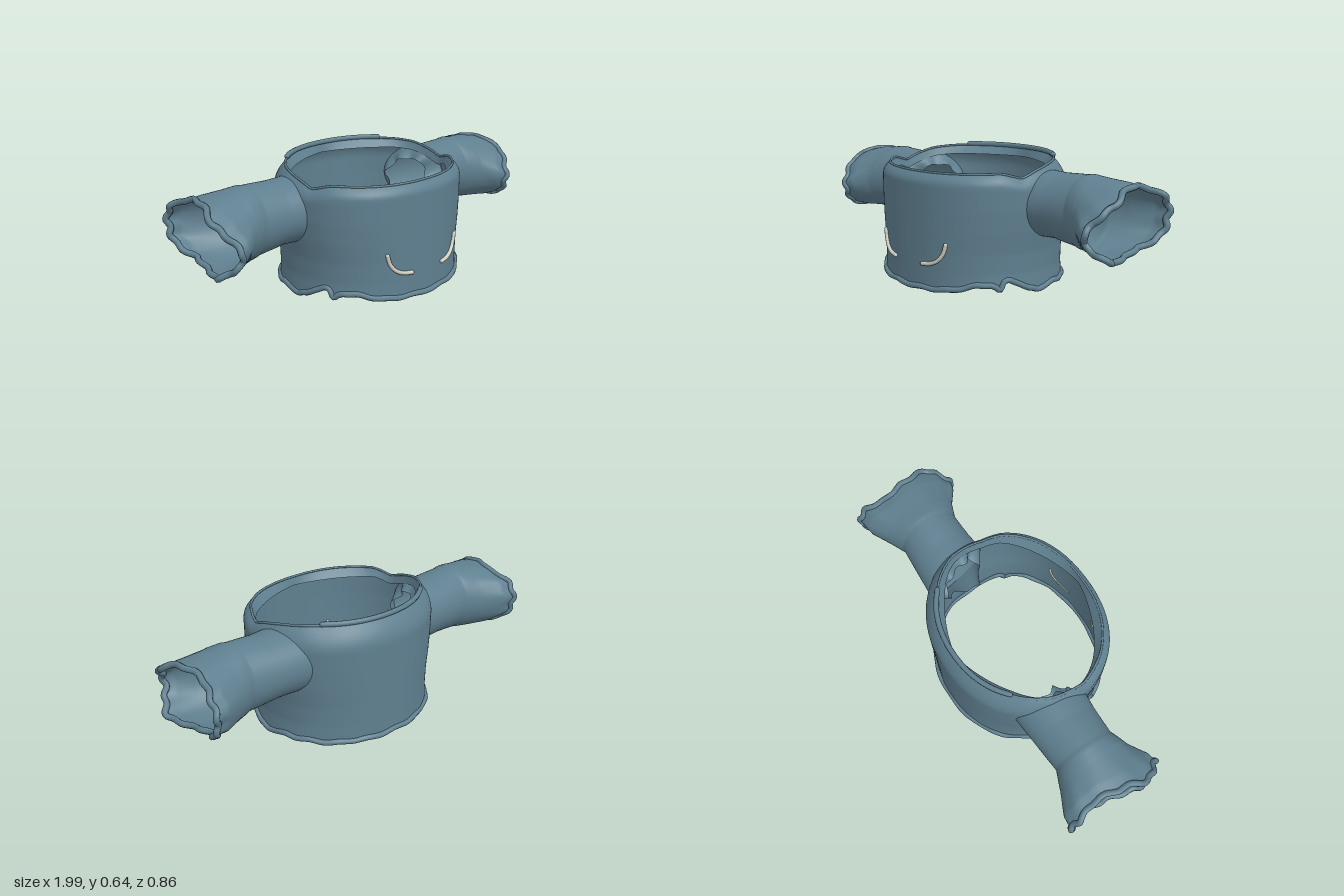
import * as THREE from 'three';

const cloth = new THREE.MeshStandardMaterial({ color: 0x5f7f8f, side: THREE.DoubleSide });
const piping = new THREE.MeshStandardMaterial({ color: 0xcfcfc4 });
const TAU = Math.PI * 2, DEPTH = 0.415;

// Piecewise linear lookup in a list of [key, value, value...] rows
function lookup(rows, k) {
  let i = 0;
  while (i < rows.length - 2 && k > rows[i + 1][0]) i++;
  const [a, b] = [rows[i], rows[i + 1]];
  const t = THREE.MathUtils.clamp((k - a[0]) / (b[0] - a[0]), 0, 1);
  return a.slice(1).map((v, j) => v + (b[j + 1] - v) * t);
}

// Grid surface closed around u; f(angle, v) gives a point, skip() drops cells
function loopSurface(name, nu, nv, f, skip = () => false) {
  const pos = [], index = [];
  for (let j = 0; j <= nv; j++)
    for (let i = 0; i < nu; i++) pos.push(...f(i / nu * TAU, j / nv));
  for (let j = 0; j < nv; j++) {
    for (let i = 0; i < nu; i++) {
      const a = j * nu + i, b = j * nu + (i + 1) % nu, c = a + nu, d = b + nu;
      if (!skip(i, j)) index.push(a, c, b, b, c, d);
    }
  }
  const g = new THREE.BufferGeometry();
  g.setAttribute('position', new THREE.Float32BufferAttribute(pos, 3));
  g.setIndex(index);
  g.computeVertexNormals();
  const mesh = new THREE.Mesh(g, cloth);
  mesh.name = name;
  return mesh;
}

// Tube through points
function cord(name, points, radius, closed, material = cloth) {
  const curve = new THREE.CatmullRomCurve3(points.map(p => new THREE.Vector3(...p)), closed);
  const mesh = new THREE.Mesh(new THREE.TubeGeometry(curve, points.length * 3, radius, 8, closed), material);
  mesh.name = name;
  if (!closed) {
    for (const p of [points[0], points[points.length - 1]]) {
      const cap = new THREE.Mesh(new THREE.SphereGeometry(radius, 8, 6), material);
      cap.name = name + 'End';
      cap.position.set(...p);
      mesh.add(cap);
    }
  }
  return mesh;
}
const around = (n, f) => Array.from({ length: n }, (_, i) => f(i / n * TAU));

// Torso rules: half width by height, neckline and hem heights by depth
const WIDTH = [[0, 0.462], [0.1, 0.453], [0.2, 0.457], [0.3, 0.472], [0.4, 0.481], [0.5, 0.483], [0.62, 0.475]];
const NECK = [[-0.42, 0.615], [-0.22, 0.612], [-0.1, 0.602], [0, 0.58], [0.1, 0.55], [0.2, 0.576], [0.42, 0.57]];
const HEM = [[-0.42, 0.018], [-0.3, 0.02], [-0.13, 0.03], [0, 0.012], [0.06, 0.028], [0.12, 0.065],
  [0.16, 0.078], [0.185, 0.065], [0.2, 0.03], [0.23, 0.062], [0.3, 0.055], [0.36, 0.03], [0.42, 0.018]];
// Roll-in of the cloth by depth: [z, zone height, amount]
const ROLL = [[-0.3, 0.12, 0.058], [-0.1, 0.08, 0.036], [0.1, 0.06, 0.03], [0.3, 0.055, 0.036]];
const neckY = z => lookup(NECK, z)[0];
const hemY = (z, a) => lookup(HEM, z)[0] + 0.003 * Math.sin(19 * a);
// The front half of the outline is a little squarer than the back
const power = z => (z > 0 ? 0.9 : 0.95);

function inset(y, z) {
  const [zone, amount] = lookup(ROLL, z);
  return amount * Math.max(0, 1 - (neckY(z) - y) / zone) ** 2;
}
const torsoSize = (y, z) => [lookup(WIDTH, y)[0] - inset(y, z), DEPTH - inset(y, z)];
function torsoPoint(a, v) {
  const c = Math.cos(a), s = Math.sin(a);
  const ux = Math.sign(c) * Math.abs(c) ** power(s), uz = Math.sign(s) * Math.abs(s) ** power(s);
  const z0 = DEPTH * uz;
  const y = THREE.MathUtils.lerp(hemY(z0, a), neckY(z0), v);
  const [w, d] = torsoSize(y, z0);
  return [w * ux, y, d * uz];
}
// Solve the torso outline for one axis when the other is known
const outline = (half, other, otherHalf, e) =>
  half * Math.max(0, 1 - (Math.abs(other) / otherHalf) ** (2 / e)) ** (e / 2);
const torsoX = (y, z) => { const [w, d] = torsoSize(y, z); return outline(w, z, d, power(z)); };
const torsoZ = (x, y) => { const [w, d] = torsoSize(y, 0.4); return outline(d, x, w, power(1)); };

// Armhole ellipse, and sleeve rings as [x, centre y, centre z, half height, half depth]
const HOLE = { y: 0.415, z: -0.085, ry: 0.158, rz: 0.175 };
const RINGS = [[0.4, 0.415, -0.085, 0.158, 0.175], [0.52, 0.416, -0.085, 0.155, 0.166],
  [0.69, 0.411, -0.08, 0.169, 0.157], [0.705, 0.41, -0.08, 0.174, 0.164], [0.78, 0.403, -0.082, 0.172, 0.195],
  [0.88, 0.402, -0.083, 0.164, 0.25], [0.94, 0.402, -0.081, 0.153, 0.258]];
// Uneven cuff end: reach along x from the back (-1) to the front (1) of the rim
const CUFF_END = [[-1, 0.95], [-0.8, 0.945], [-0.45, 0.91], [0.1, 0.935], [0.6, 0.972], [0.85, 0.94], [1, 0.905]];

function sleevePoint(s, a, v) {
  const sin = Math.sin(a), cos = Math.cos(a);
  const end = lookup(CUFF_END, cos)[0] + 0.008 * sin + 0.007 * Math.sin(13 * a);
  const x0 = torsoX(HOLE.y + HOLE.ry * sin, HOLE.z + HOLE.rz * cos) - 0.006;
  const k = 0.4 + 0.54 * v;
  const [cy, cz, ry, rz] = lookup(RINGS, k);
  // Rings bend from the armhole line to straight, then to the cuff edge
  const x = k < 0.6 ? x0 + (0.6 - x0) * (k - 0.4) / 0.2
    : k < 0.78 ? k : 0.78 + (end - 0.78) * (k - 0.78) / 0.16;
  // The flared cuff droops at its front and ruffles towards the edge
  const flare = Math.max(0, (k - 0.76) / 0.18);
  const ruffle = 1 + flare * (0.02 * Math.sin(5 * a + 1) + 0.02 * Math.sin(11 * a));
  return [s * x, cy - 0.045 * flare * Math.max(0, cos) + ry * ruffle * sin, cz + rz * ruffle * cos];
}

// Ragged cloth turned inwards behind the armhole, hanging deepest at the lower front
function flapPoint(s, a, v) {
  const [x, y, z] = sleevePoint(s, a, 0);
  const r = 0.62 + 0.05 * Math.cos(6 * a) + 0.025 * Math.sin(5 * a + 1);
  const f = THREE.MathUtils.lerp(1, r, v);
  const depth = 0.05 + 0.08 * Math.max(0, Math.cos(a + 0.9)) ** 2 + 0.012 * Math.sin(7 * a);
  return [x - s * depth * v, HOLE.y + (y - HOLE.y) * f, HOLE.z + (z - HOLE.z) * f];
}

function torso() {
  const NU = 128, NV = 50;
  const holeRadius = (y, z) => Math.hypot((y - HOLE.y) / HOLE.ry, (z - HOLE.z) / HOLE.rz);
  const inHole = (i, j) => {
    const [, y, z] = torsoPoint((i % NU) / NU * TAU, j / NV);
    return holeRadius(y, z) < 1;
  };
  // Points inside the armhole are pulled onto its edge
  const point = (a, v) => {
    const [x, y, z] = torsoPoint(a, v);
    const r = holeRadius(y, z);
    if (r >= 1 || r < 0.05) return [x, y, z];
    const ny = HOLE.y + (y - HOLE.y) / r, nz = HOLE.z + (z - HOLE.z) / r;
    return [Math.sign(x) * torsoX(ny, nz), ny, nz];
  };
  return loopSurface('torso', NU, NV, point, (i, j) =>
    inHole(i, j) && inHole(i + 1, j) && inHole(i, j + 1) && inHole(i + 1, j + 1));
}

export function createModel() {
  const model = new THREE.Group();
  model.name = 'shortJacket';
  model.add(torso());

  // Facing folded down inside the neckline, its lower edge pinched to a lens shape
  const facingPoint = (a, v) => {
    const [x, y, z] = torsoPoint(a, 1);
    const s = 1 - 0.03 * v;
    return [x * s, y - 0.045 * v, z * s * (1 - 0.11 * v * Math.abs(Math.sin(2 * a)))];
  };
  model.add(loopSurface('neckFacing', 96, 4, facingPoint));
  model.add(cord('neckTrim', around(64, a => torsoPoint(a, 1)), 0.006, true));

  // Raised collar band across the back
  const collar = Array.from({ length: 25 }, (_, i) => {
    const [x, y, z] = torsoPoint(Math.PI * (1.235 + 0.53 * i / 24), 1);
    return [x, y + 0.007, z];
  });
  model.add(cord('backCollar', collar, 0.013, false));

  // Wavy bottom hem
  model.add(cord('bottomHem', around(110, a => {
    const [x, y, z] = torsoPoint(a, 0);
    const s = 1.002 + 0.006 * Math.sin(13 * a);
    return [x * s, y, z * s];
  }), 0.014, true));

  for (const s of [1, -1]) {
    const side = s > 0 ? 'left' : 'right';
    const sleeve = new THREE.Group();
    sleeve.name = side + 'Sleeve';
    sleeve.add(loopSurface('sleeveShell', 72, 54, (a, v) => sleevePoint(s, a, v)));
    sleeve.add(loopSurface('armholeFlap', 72, 4, (a, v) => flapPoint(s, a, v)));
    sleeve.add(cord('cuffEdge', around(60, a => sleevePoint(s, a, 1)), 0.015, true));
    model.add(sleeve);

    // Curved pocket piping on the front
    const pocket = [[0.235, 0.243], [0.222, 0.2], [0.195, 0.165], [0.155, 0.145], [0.105, 0.138]]
      .map(([x, y]) => [s * x, y, torsoZ(x, y) + 0.006]);
    model.add(cord(side + 'PocketPiping', pocket, 0.01, false, piping));
  }
  return model;
}
